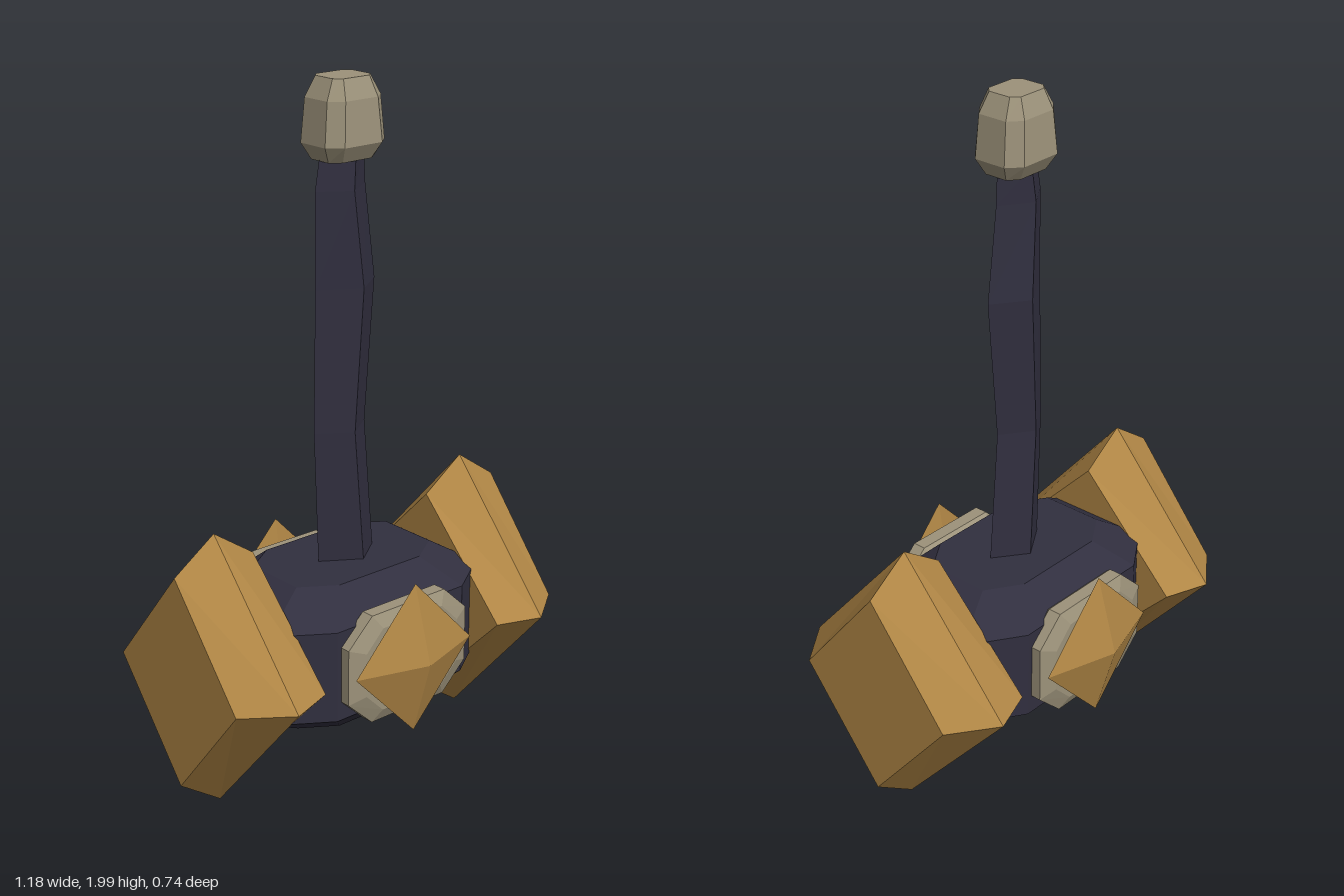
import * as THREE from 'three';

const mat = (name, color) => Object.assign(new THREE.MeshStandardMaterial({ color, flatShading: true }), { name });

// Cross-section outlines, counter-clockwise around the loft axis
const diamond = (hx, hy, cx = 0) => [[cx + hx, 0], [cx, hy], [cx - hx, 0], [cx, -hy]];
const octagon = (hx, hy, kx, ky) => [
  [hx, -ky], [hx, ky], [kx, hy], [-kx, hy], [-hx, ky], [-hx, -ky], [-kx, -hy], [kx, -hy],
];

// Faceted loft along +z through sections [z, outline], closed at both ends
function loft(sections) {
  const rings = sections.map(([z, pts]) => pts.map(([x, y]) => [x, y, z]));
  const pos = [];
  const tri = (a, b, c) => pos.push(...a, ...b, ...c);
  const n = rings[0].length;
  for (let i = 0; i < rings.length - 1; i++) {
    const lo = rings[i], hi = rings[i + 1];
    for (let j = 0; j < n; j++) {
      const k = (j + 1) % n;
      tri(lo[j], lo[k], hi[k]);
      tri(lo[j], hi[k], hi[j]);
    }
  }
  const first = rings[0], last = rings[rings.length - 1];
  for (let j = 1; j < n - 1; j++) {
    tri(first[0], first[j + 1], first[j]);
    tri(last[0], last[j], last[j + 1]);
  }
  const geo = new THREE.BufferGeometry();
  geo.setAttribute('position', new THREE.Float32BufferAttribute(pos, 3));
  geo.computeVertexNormals();
  return geo;
}

export function createModel() {
  const group = new THREE.Group();
  group.name = 'hammer';
  const dark = mat('darkIron', 0x312f3f);
  const gold = mat('bronzeGold', 0xb08645);
  const stone = mat('paleStone', 0x9c927a);
  const midY = 0.413;

  const add = (name, geo, material, y = 0, turn = 0) => {
    const mesh = new THREE.Mesh(geo, material);
    mesh.name = name;
    mesh.position.y = y;
    mesh.rotation.y = turn;
    group.add(mesh);
  };
  const upright = (sections) => loft(sections).rotateX(-Math.PI / 2);

  // Bevelled octagonal core
  const small = octagon(0.25, 0.16, 0.15, 0.095);
  const wide = octagon(0.39, 0.25, 0.235, 0.148);
  add('core', upright([[0.195, small], [0.275, wide], [0.545, wide], [0.632, small]]), dark);

  // Crooked handle: [y, left edge, right edge, ridge x, half depth]
  const handle = [
    [0.6, -0.09, 0.115, 0.02, 0.07],
    [1.02, -0.105, 0.08, -0.01, 0.064],
    [1.43, -0.098, 0.115, 0.015, 0.071],
    [1.7, -0.097, 0.08, -0.01, 0.06],
    [1.8, -0.08, 0.075, 0, 0.054],
  ];
  add('handle', upright(handle.map(([y, l, r, m, d]) => [y, [[r, 0], [m, d], [l, 0], [m, -d]]])), dark);

  // Pommel
  add('pommel', upright([
    [1.78, octagon(0.08, 0.058, 0.05, 0.035)],
    [1.825, octagon(0.104, 0.085, 0.065, 0.05)],
    [1.945, octagon(0.093, 0.077, 0.056, 0.046)],
    [2.0, octagon(0.065, 0.055, 0.045, 0.035)],
  ]), stone);

  // Diamond striking heads on both sides
  const head = loft([
    [0.325, diamond(0.307, 0.315)],
    [0.458, diamond(0.355, 0.407)],
    [0.592, diamond(0.258, 0.315)],
  ]);
  add('leftHead', head, gold, midY, Math.PI / 2);
  add('rightHead', head, gold, midY, -Math.PI / 2);

  // Front and back pads with a flat pyramid stud on each
  const pad = loft([
    [0.225, octagon(0.2, 0.15, 0.125, 0.075)],
    [0.24, octagon(0.22, 0.163, 0.135, 0.083)],
    [0.28, octagon(0.22, 0.163, 0.135, 0.083)],
    [0.298, octagon(0.17, 0.125, 0.11, 0.065)],
  ]);
  const stud = loft([
    [0.27, diamond(0.001, 0.001)],
    [0.306, diamond(0.215, 0.226)],
    [0.371, diamond(0.001, 0.001)],
  ]);
  for (const [side, turn] of [['front', 0], ['back', Math.PI]]) {
    add(side + 'Pad', pad, stone, midY, turn);
    add(side + 'Stud', stud, gold, midY + 0.002, turn);
  }
  return group;
}
